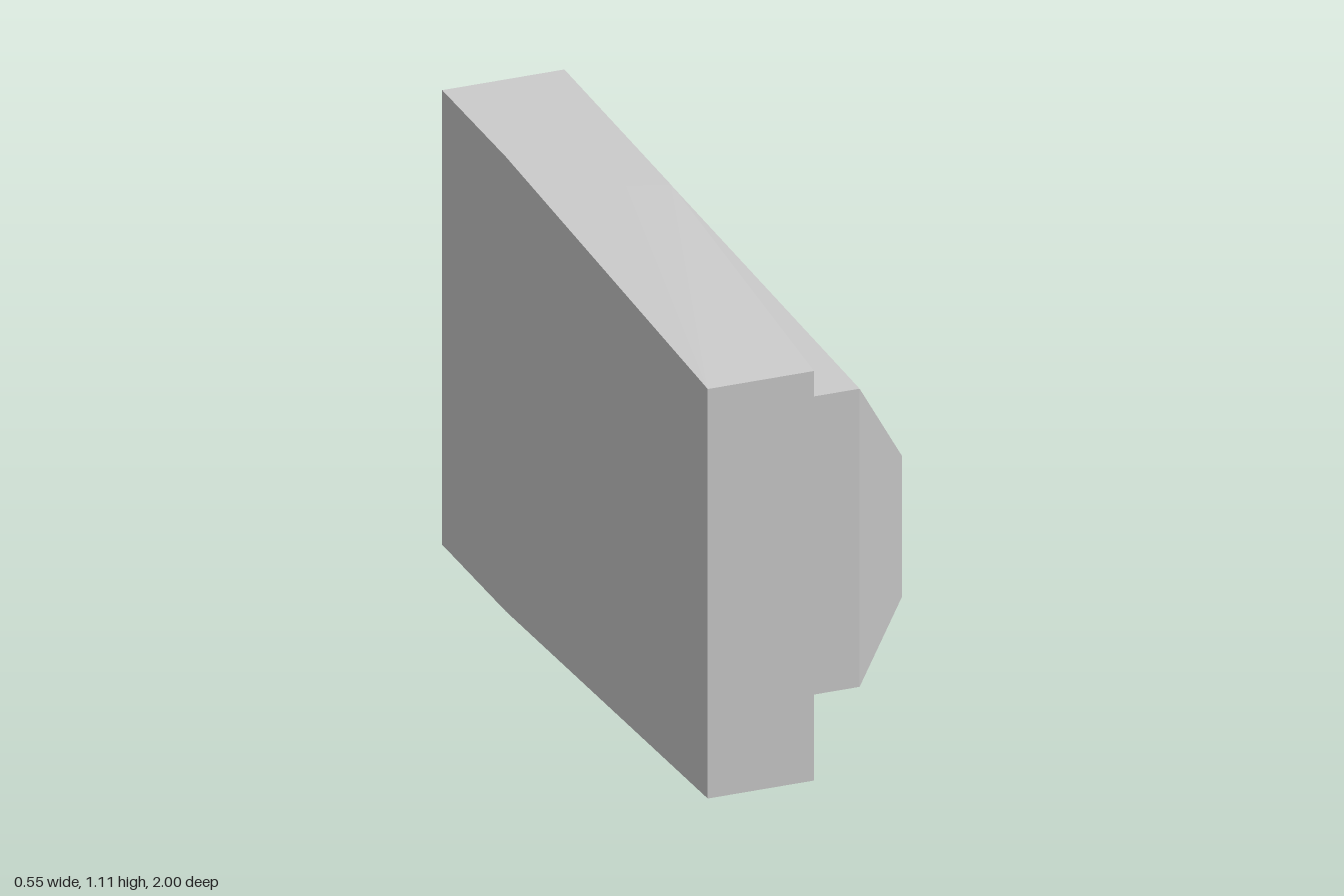
import * as THREE from 'three';
import { ConvexGeometry } from 'three/addons/geometries/ConvexGeometry.js';

const MID = 0.555; // height of the horizontal mirror plane

// Convex solid from [x, half height, z] corners mirrored above and below MID
function mirroredSolid(name, corners, material) {
  const points = corners.flatMap(([x, h, z]) => [
    new THREE.Vector3(x, MID + h, z),
    new THREE.Vector3(x, MID - h, z),
  ]);
  const mesh = new THREE.Mesh(new ConvexGeometry(points), material);
  mesh.name = name;
  return mesh;
}

export function createModel() {
  const group = new THREE.Group();
  group.name = 'model';
  const grey = new THREE.MeshStandardMaterial({ color: 0xcccccc, flatShading: true });

  // Tall plate: full height at the back, tapering to a smaller front face
  group.add(mirroredSolid('taperedPlate', [
    [-0.275, 0.555, -0.54], [0.015, 0.555, -0.54],
    [-0.271, 0.555, -0.17], [-0.08, 0.555, 0.07], [0.015, 0.555, 0.1],
    [0.015, 0.364, 0.855],
    [-0.255, 0.5, 1], [-0.003, 0.5, 1],
  ], grey));

  // Side block with sloped upper and lower edges and a slightly raked front
  group.add(mirroredSolid('sideBlock', [
    [0, 0.364, -0.54], [0.163, 0.364, -0.54], [0.271, 0.173, -0.54],
    [0, 0.364, 0.855], [0.163, 0.364, 0.855], [0.271, 0.173, 0.835],
  ], grey));

  // Rear bar with its outer back corner cut off
  group.add(mirroredSolid('rearBar', [
    [0.04, 0.173, -0.54], [0.271, 0.173, -0.54],
    [0.271, 0.173, -0.945], [0.2, 0.173, -1], [0.04, 0.173, -1],
  ], grey));

  return group;
}
